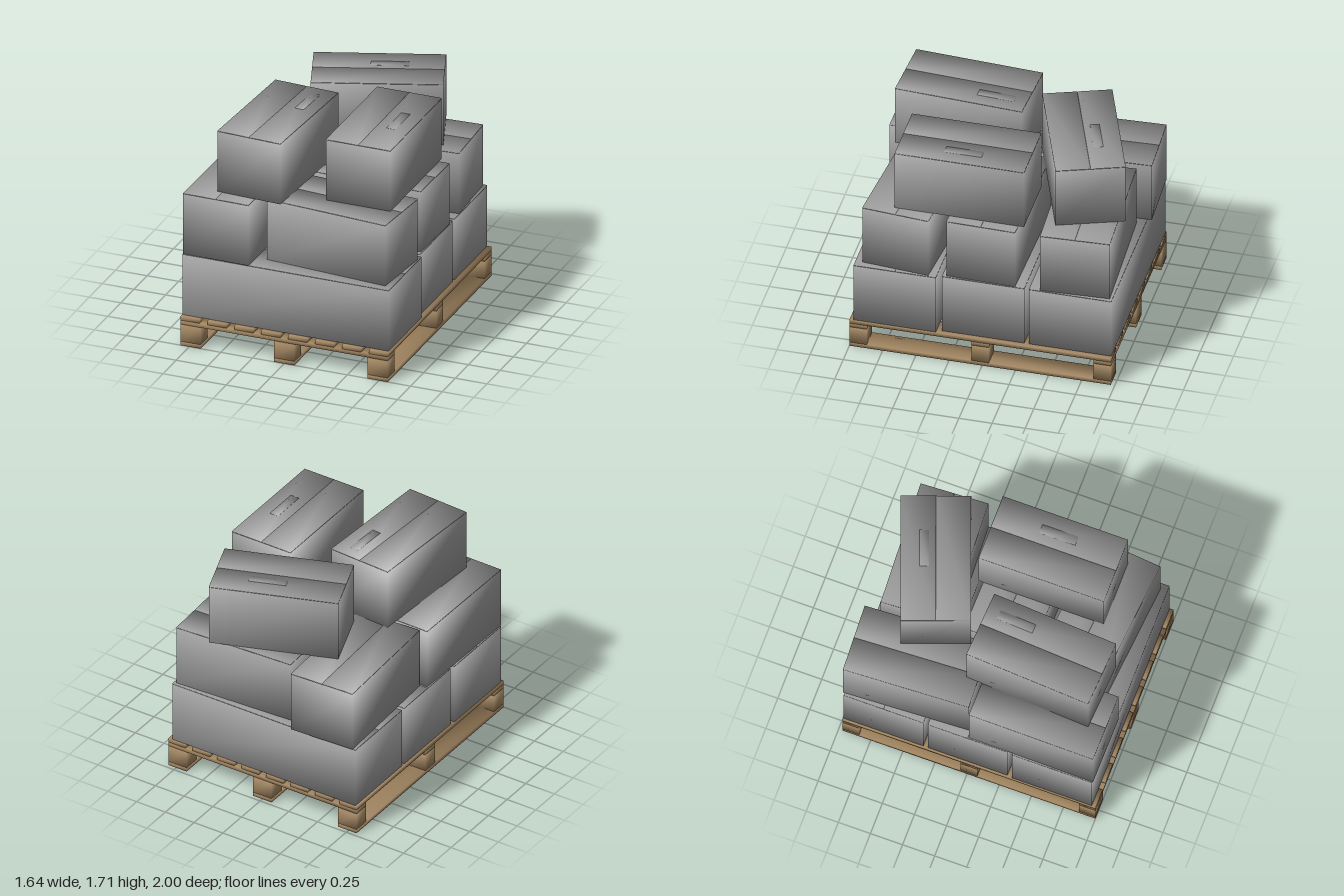
import * as THREE from 'three';
import { mergeVertices } from 'three/addons/utils/BufferGeometryUtils.js';

const cardboard = new THREE.MeshStandardMaterial({ color: 0xa3a3a3 });
const wood = new THREE.MeshStandardMaterial({ color: 0xa98b64 });

// Unit cube with shared corners, so the shading runs smoothly round its edges
function createSmoothCube() {
  const cube = new THREE.BoxGeometry(1, 1, 1);
  cube.deleteAttribute('normal');
  cube.deleteAttribute('uv');
  const smooth = mergeVertices(cube);
  smooth.computeVertexNormals();
  return smooth;
}
const smoothCube = createSmoothCube();

// Only the corners are sized; the soft corner normals stay as they are
function addBox(parent, name, material, size, position) {
  const geometry = smoothCube.clone();
  geometry.attributes.position.applyMatrix4(new THREE.Matrix4().makeScale(...size));
  const mesh = new THREE.Mesh(geometry, material);
  mesh.name = name;
  mesh.position.set(...position);
  parent.add(mesh);
}

// Carton whose long side runs along x, with two lid flaps meeting at a seam
function carton(name, length, width, height, x, y, z, turn) {
  const group = new THREE.Group();
  group.name = name;
  const flap = 0.006, gap = 0.002;
  addBox(group, 'cartonBody', cardboard, [length, height - flap, width], [0, (height - flap) / 2, 0]);
  for (const side of [-1, 1]) {
    addBox(group, 'lidFlap', cardboard, [length, flap, (width - gap) / 2],
      [0, height - flap / 2, side * (width + gap) / 4]);
  }
  group.position.set(x, y, z);
  group.rotation.y = turn;
  return group;
}

// Carton with a small flat patch on its lid, placed along (x) and across (z) the lid
function patchedCarton(patchX, patchZ, ...cartonArgs) {
  const group = carton(...cartonArgs);
  const height = cartonArgs[3];
  addBox(group, 'lidPatch', cardboard, [0.28, 0.003, 0.07], [patchX, height, patchZ]);
  return group;
}

function createPallet() {
  const pallet = new THREE.Group();
  pallet.name = 'pallet';
  const columns = [-0.74, 0, 0.74];
  const rows = [-0.905, 0.015, 0.935];
  const midZ = 0.015, lengthZ = 1.97;

  // Skids along the floor, with blocks on top
  for (const x of columns) {
    addBox(pallet, 'skid', wood, [0.16, 0.032, lengthZ], [x, 0.016, midZ]);
    for (const z of rows) addBox(pallet, 'block', wood, [0.16, 0.138, 0.13], [x, 0.101, z]);
  }
  // Cross boards over the blocks
  for (const z of rows) addBox(pallet, 'crossBoard', wood, [1.64, 0.032, 0.13], [0, 0.186, z]);
  // Deck boards
  for (let i = 0; i < 8; i++) {
    addBox(pallet, 'deckBoard', wood, [0.15, 0.032, lengthZ], [-0.745 + i * 1.49 / 7, 0.218, midZ]);
  }
  return pallet;
}

export function createModel() {
  const model = new THREE.Group();
  model.name = 'loadedPallet';
  model.add(createPallet());

  // Bottom layer: three long cartons side by side
  model.add(
    carton('bottomFrontCarton', 1.63, 0.62, 0.492, 0, 0.235, 0.66, 0),
    carton('bottomMiddleCarton', 1.595, 0.62, 0.492, -0.01, 0.235, 0, 0),
    carton('bottomBackCarton', 1.595, 0.62, 0.492, -0.01, 0.235, -0.655, 0),
  );

  // Middle layer: two lengthwise cartons and three crosswise
  const quarter = Math.PI / 2;
  const y2 = 0.73, y3 = 1.222;
  model.add(
    carton('middleFrontSideCarton', 0.97, 0.52, 0.49, -0.545, y2, 0.495, quarter - 0.01),
    carton('middleBackSideCarton', 0.965, 0.52, 0.49, -0.508, y2, -0.507, quarter + 0.045),
    carton('middleFrontCarton', 0.975, 0.51, 0.49, 0.302, y2, 0.62, -0.088),
    carton('middleCentreCarton', 0.97, 0.52, 0.49, 0.3, y2, 0.01, -0.02),
    carton('middleBackCarton', 0.965, 0.52, 0.49, 0.293, y2, -0.665, 0.048),
  );

  // Top layer: three loosely placed cartons
  model.add(
    patchedCarton(0.25, 0.12, 'topFrontCarton', 0.97, 0.51, 0.49, -0.305, y3, 0.387, quarter - 0.057),
    patchedCarton(0, 0.115, 'topSideCarton', 0.975, 0.51, 0.49, 0.455, y3, 0.2, quarter),
    patchedCarton(0.08, -0.085, 'topBackCarton', 0.97, 0.515, 0.49, 0.088, y3, -0.58, 0.352),
  );
  return model;
}
